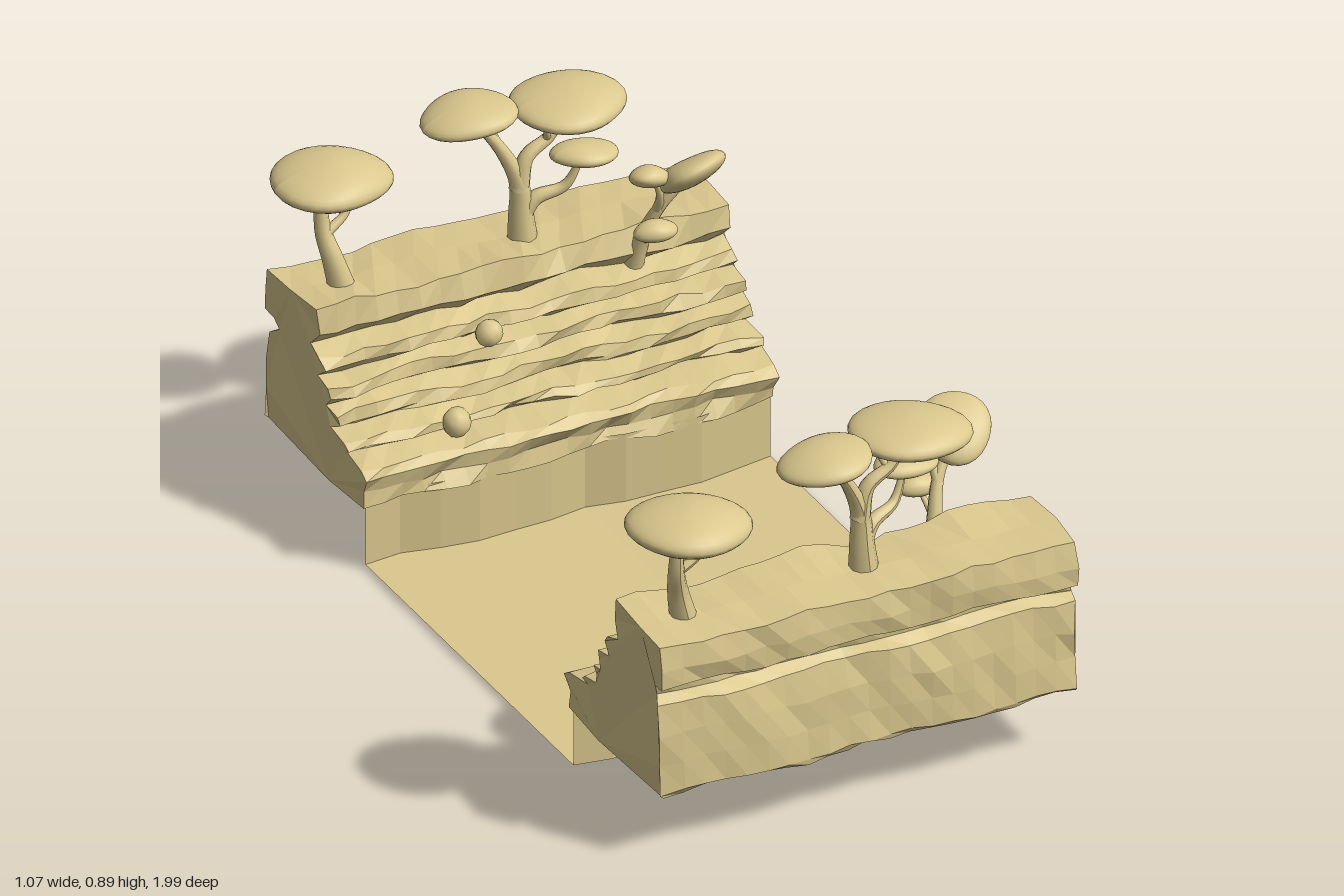
import * as THREE from 'three';

const SAND = 0xdbc88e;
const rock = new THREE.MeshStandardMaterial({ color: SAND, flatShading: true, side: THREE.DoubleSide });
const smooth = new THREE.MeshStandardMaterial({ color: SAND });
const V = (p) => new THREE.Vector3(...p);

function named(name, geometry, material) {
  const mesh = new THREE.Mesh(geometry, material);
  mesh.name = name;
  return mesh;
}

// Repeatable noise in -1..1
function noise(a, b) {
  const s = Math.sin(a * 127.1 + b * 311.7) * 43758.5453;
  return (s - Math.floor(s)) * 2 - 1;
}

// Wavy line of the canyon wall along x
const wave = (x) => 0.012 * Math.sin(x * 13 + 1) + 0.006 * Math.sin(x * 29);

// Cliff cross-section as [z, y]: underside, outer face, top, inner terraces
const PROFILE = [
  [0.49, 0.16], [0.65, 0.155], [0.8, 0.155], [0.945, 0.158],
  [0.957, 0.17], [0.953, 0.24], [0.95, 0.31], [0.938, 0.385], [0.91, 0.4], [0.915, 0.428],
  [0.95, 0.433], [0.953, 0.48], [0.945, 0.538],
  [0.84, 0.543], [0.725, 0.543],
  [0.708, 0.49], [0.735, 0.462], [0.68, 0.445], [0.672, 0.42], [0.70, 0.402],
  [0.652, 0.388], [0.645, 0.362], [0.672, 0.348], [0.622, 0.332], [0.615, 0.306],
  [0.63, 0.296], [0.57, 0.284], [0.563, 0.268], [0.58, 0.26], [0.505, 0.246], [0.488, 0.23], [0.5, 0.195],
];

function cliffGeometry() {
  const cols = 20, n = PROFILE.length, pos = [], index = [];
  for (let i = 0; i <= cols; i++) {
    const end = i === 0 || i === cols;
    for (let j = 0; j < n; j++) {
      const [z, y] = PROFILE[j];
      let x = -0.51 + (1.035 * i) / cols;
      const inner = j > 13 || j === 0;
      const amp = inner ? 0.007 : 0.005;
      if (end) x += 0.008 * noise(j, i + 5);
      const hump = j === 14 ? 0.018 * Math.max(0, Math.sin(x * 16 + 2.2)) : 0;
      pos.push(
        x,
        y + 0.004 * noise(i * 0.37 + 2, j) + 0.004 * Math.sin(x * 15 + j * 0.3) + hump,
        z + amp * noise(i, j + 3) + (inner ? 0.6 : 0.3) * wave(x + j * 0.06),
      );
    }
  }
  for (let i = 0; i < cols; i++) {
    for (let j = 0; j < n; j++) {
      const k = (j + 1) % n, a = i * n + j, c = i * n + k;
      index.push(a, a + n, c, a + n, c + n, c);
    }
  }
  // End faces
  const outline = PROFILE.map(([z, y]) => new THREE.Vector2(z, y));
  for (const [a, b, c] of THREE.ShapeUtils.triangulateShape(outline, [])) {
    const o = cols * n;
    index.push(a, b, c, o + a, o + c, o + b);
  }
  const g = new THREE.BufferGeometry();
  g.setAttribute('position', new THREE.Float32BufferAttribute(pos, 3));
  g.setIndex(index);
  g.computeVertexNormals();
  return g;
}

// Canyon floor with its two low walls, one folded sheet
function bedGeometry() {
  const cols = 11;
  const g = new THREE.PlaneGeometry(1.02, 1, cols, 3);
  const p = g.attributes.position;
  for (let i = 0; i < p.count; i++) {
    const row = Math.floor(i / (cols + 1)), x = p.getX(i) + 0.01;
    const z = 0.497 + wave(x);
    const y = row === 0 || row === 3 ? 0.175 : 0.018 * Math.abs(x - 0.05);
    p.setXYZ(i, x, y, row < 2 ? -z : z);
  }
  g.computeVertexNormals();
  return g;
}

// Tube along a curve, tapering from r0 to r1
function limb(points, r0, r1) {
  const curve = new THREE.CatmullRomCurve3(points.map(V));
  const seg = 14, sides = 10;
  const g = new THREE.TubeGeometry(curve, seg, 1, sides);
  const p = g.attributes.position, v = new THREE.Vector3();
  for (let i = 0; i <= seg; i++) {
    const t = i / seg, c = curve.getPointAt(t);
    const r = r1 + (r0 - r1) * Math.pow(1 - t, 1.4);
    for (let j = 0; j <= sides; j++) {
      const k = i * (sides + 1) + j;
      v.fromBufferAttribute(p, k).sub(c).multiplyScalar(r).add(c);
      p.setXYZ(k, v.x, v.y, v.z);
    }
  }
  g.computeVertexNormals();
  return named('limb', g, smooth);
}

// Lopsided cushion of leaves: domed above, flatter below
function canopy(center, size, tiltX, tiltZ, seed) {
  const g = new THREE.SphereGeometry(1, 28, 18);
  const p = g.attributes.position;
  for (let i = 0; i < p.count; i++) {
    const x = p.getX(i), y = p.getY(i), z = p.getZ(i);
    const a = Math.atan2(z, x), w = Math.hypot(x, z);
    const k = 1 + w * (0.05 * Math.sin(2 * a + seed) + 0.04 * Math.sin(3 * a + seed * 2));
    const h = y > 0 ? y * (1 + 0.15 * Math.sin(2 * x + seed)) : y * 0.85;
    p.setXYZ(i, x * k * size[0], h * size[1], z * k * size[2]);
  }
  g.rotateX(tiltX).rotateZ(tiltZ).translate(...center);
  g.computeVertexNormals();
  return named('canopy', g, smooth);
}

function tree(name, parts) {
  const group = new THREE.Group();
  group.name = name;
  return group.add(...parts);
}

function boulder(center, r, turn) {
  const g = new THREE.SphereGeometry(r, 10, 7);
  g.scale(1, 0.9, 0.85).rotateZ(turn).rotateX(0.5).translate(...center);
  return named('boulder', g, smooth);
}

function canyonSide() {
  const side = new THREE.Group();
  side.add(
    named('terracedCliff', cliffGeometry(), rock),
    boulder([-0.11, 0.42, 0.655], 0.034, 0.4),
    boulder([-0.24, 0.275, 0.56], 0.036, 1.1),
    tree('singleTree', [
      limb([[-0.39, 0.52, 0.82], [-0.41, 0.6, 0.83], [-0.425, 0.67, 0.85], [-0.425, 0.77, 0.86]], 0.032, 0.014),
      limb([[-0.415, 0.665, 0.845], [-0.37, 0.695, 0.85], [-0.34, 0.755, 0.86]], 0.013, 0.007),
      canopy([-0.4, 0.782, 0.863], [0.138, 0.047, 0.133], 0, -0.06, 1),
    ]),
    tree('forkedTree', [
      limb([[0.06, 0.52, 0.82], [0.055, 0.6, 0.82], [0.05, 0.68, 0.82], [0.01, 0.77, 0.835], [-0.045, 0.845, 0.855]], 0.036, 0.011),
      limb([[0.05, 0.66, 0.82], [0.07, 0.74, 0.82], [0.13, 0.78, 0.82], [0.165, 0.845, 0.82]], 0.024, 0.011),
      limb([[0.055, 0.59, 0.82], [0.085, 0.635, 0.81], [0.15, 0.66, 0.79], [0.185, 0.735, 0.775]], 0.024, 0.008),
      limb([[0.01, 0.775, 0.835], [0.0, 0.81, 0.85], [0.005, 0.85, 0.87]], 0.01, 0.006),
      limb([[0.12, 0.775, 0.82], [0.11, 0.8, 0.8], [0.1, 0.84, 0.79]], 0.01, 0.006),
      canopy([-0.055, 0.857, 0.86], [0.107, 0.033, 0.1], 0, 0.1, 2),
      canopy([0.173, 0.85, 0.82], [0.135, 0.041, 0.128], 0, -0.05, 0.5),
      canopy([0.19, 0.742, 0.77], [0.078, 0.026, 0.06], 0.05, -0.05, 3),
    ]),
    tree('leaningTree', [
      limb([[0.285, 0.45, 0.725], [0.3, 0.54, 0.7], [0.325, 0.62, 0.67], [0.385, 0.7, 0.64]], 0.024, 0.01),
      limb([[0.32, 0.6, 0.68], [0.315, 0.66, 0.65], [0.295, 0.72, 0.64]], 0.013, 0.007),
      limb([[0.298, 0.52, 0.71], [0.3, 0.545, 0.67], [0.295, 0.575, 0.635]], 0.01, 0.006),
      canopy([0.385, 0.71, 0.635], [0.085, 0.036, 0.085], 0.6, 0.3, 4),
      canopy([0.285, 0.717, 0.645], [0.046, 0.026, 0.046], 0.35, -0.2, 1.5),
      canopy([0.295, 0.585, 0.63], [0.05, 0.026, 0.037], 0.1, 0, 2.5),
    ]),
  );
  return side;
}

// Mirror a side across z = 0, reversing corner order
function mirrorZ(group) {
  group.traverse((m) => {
    if (!m.isMesh) return;
    m.geometry.scale(1, 1, -1);
    m.geometry.index.array.reverse();
    m.geometry.computeVertexNormals();
  });
  return group;
}

export function createModel() {
  const model = new THREE.Group();
  model.name = 'canyon';
  const front = canyonSide(), back = mirrorZ(canyonSide());
  front.name = 'frontSide';
  back.name = 'backSide';
  model.add(named('canyonFloor', bedGeometry(), rock), front, back);
  return model;
}
